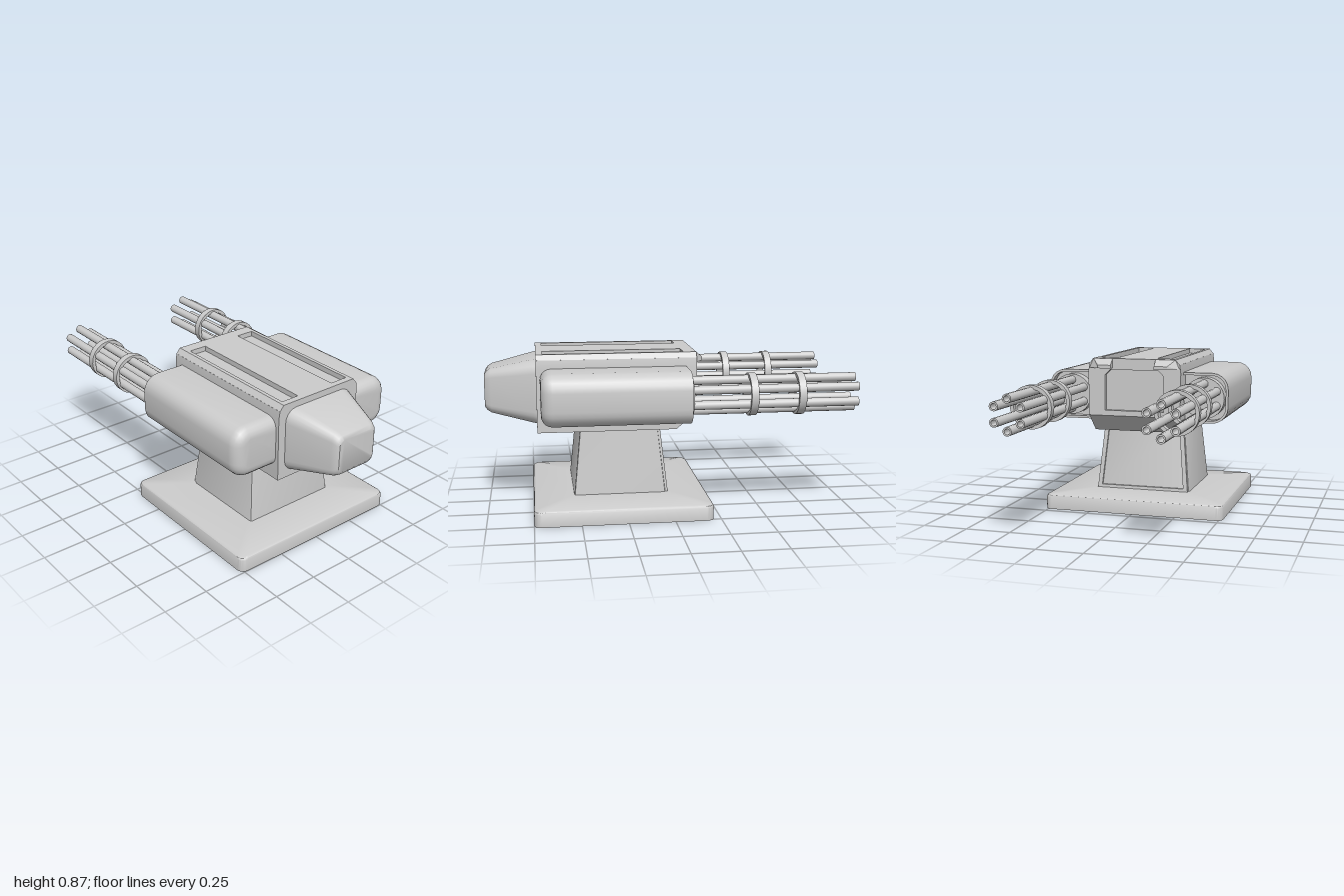
import * as THREE from 'three';
import { toCreasedNormals } from 'three/addons/utils/BufferGeometryUtils.js';

const material = new THREE.MeshStandardMaterial({ color: 0xcccccc });

// Rounded rectangle as a counter-clockwise list of [u, v]
function roundRect(cu, cv, hu, hv, r, steps = 5) {
  const pts = [];
  [[1, 1], [-1, 1], [-1, -1], [1, -1]].forEach(([su, sv], k) => {
    for (let i = 0; i <= steps; i++) {
      const a = (k + i / steps) * Math.PI / 2;
      pts.push([cu + su * (hu - r) + r * Math.cos(a), cv + sv * (hv - r) + r * Math.sin(a)]);
    }
  });
  return pts;
}

// Capped skin through rings [{ t, ring }]; axis 'x' maps (u,v) to (y,z), axis 'y' maps (u,v) to (z,x)
function loft(sections, axis, crease = 0.6) {
  const pos = [];
  const put = (t, [u, v]) => pos.push(...(axis === 'x' ? [t, u, v] : [v, t, u]));
  const n = sections[0].ring.length;
  for (let s = 0; s < sections.length - 1; s++) {
    const a = sections[s], b = sections[s + 1];
    for (let i = 0; i < n; i++) {
      const j = (i + 1) % n;
      put(a.t, a.ring[i]); put(a.t, a.ring[j]); put(b.t, b.ring[j]);
      put(a.t, a.ring[i]); put(b.t, b.ring[j]); put(b.t, b.ring[i]);
    }
  }
  const first = sections[0], last = sections[sections.length - 1];
  for (let i = 1; i < n - 1; i++) {
    put(first.t, first.ring[0]); put(first.t, first.ring[i + 1]); put(first.t, first.ring[i]);
    put(last.t, last.ring[0]); put(last.t, last.ring[i]); put(last.t, last.ring[i + 1]);
  }
  const geo = new THREE.BufferGeometry();
  geo.setAttribute('position', new THREE.Float32BufferAttribute(pos, 3));
  return toCreasedNormals(geo, crease);
}

// Extrude an outline with holes, then move each vertex by a rule
function extrude(points, holes, depth, rule) {
  const toVec = ([x, y]) => new THREE.Vector2(x, y);
  const shape = new THREE.Shape(points.map(toVec));
  holes.forEach(h => shape.holes.push(new THREE.Path(h.map(toVec))));
  const geo = new THREE.ExtrudeGeometry(shape, { depth, bevelEnabled: false });
  const p = geo.attributes.position;
  for (let i = 0; i < p.count; i++) p.setXYZ(i, ...rule(p.getX(i), p.getY(i), p.getZ(i)));
  geo.computeVertexNormals();
  return geo;
}

function add(parent, name, geo) {
  const mesh = new THREE.Mesh(geo, material);
  mesh.name = name;
  parent.add(mesh);
  return mesh;
}

function createBase(group) {
  const slab = (t, inset) => ({ t, ring: roundRect(0, 0.27, 0.52 - inset, 0.48 - inset, 0.04) });
  add(group, 'basePlate', loft([
    slab(0, 0), slab(0.07, 0), slab(0.079, 0.004), slab(0.085, 0.014),
    { t: 0.098, ring: roundRect(0, 0.27, 0.28, 0.26, 0.02) },
  ], 'y'));
  add(group, 'pedestal', loft([
    { t: 0.08, ring: roundRect(0, 0.276, 0.28, 0.254, 0.012, 2) },
    { t: 0.46, ring: roundRect(0, 0.276, 0.243, 0.214, 0.012, 2) },
  ], 'y'));
  // Raised frame lying on the sloped muzzle-side face of the pedestal
  add(group, 'pedestalFrame', extrude(
    [[-0.272, 0.09], [0.272, 0.09], [0.238, 0.455], [-0.238, 0.455]],
    [[[-0.245, 0.115], [0.245, 0.115], [0.215, 0.435], [-0.215, 0.435]]],
    0.014, (u, v, w) => [0.024 + (v - 0.09) * 0.11 - w, v, u]));
}

function createBody(group) {
  const outline = yb => [[yb, -0.265], [0.8, -0.268], [0.845, -0.262],
    [0.845, 0.262], [0.8, 0.268], [yb, 0.265]];
  const panel = [[0.58, -0.17], [0.78, -0.17], [0.81, -0.14],
    [0.81, 0.14], [0.78, 0.17], [0.58, 0.17]];
  // Body with a recessed front panel and a chamfered chin
  add(group, 'body', loft([
    { t: -0.125, ring: panel }, { t: -0.15, ring: panel }, { t: -0.15, ring: outline(0.55) },
    { t: -0.04, ring: outline(0.45) }, { t: 0.72, ring: outline(0.45) },
  ], 'x', 0.2));

  // Roof with two long slots and bevelled sides
  const rect = (x0, x1, z0, z1) => [[x0, z0], [x1, z0], [x1, z1], [x0, z1]];
  add(group, 'roof', extrude(rect(-0.15, 0.72, -0.262, 0.262),
    [rect(-0.08, 0.685, 0.115, 0.218), rect(-0.08, 0.685, -0.218, -0.115)], 0.029,
    (x, v, w) => [x, 0.844 + w, -v * (w > 0.01 && Math.abs(v) > 0.25 ? 0.91 : 1)]));

  // Pair of sloping brow lips beside the notch
  for (const s of [1, -1]) {
    add(group, s > 0 ? 'leftBrow' : 'rightBrow', extrude(
      [[-0.149, 0.125 * s], [-0.149, 0.262 * s], [-0.19, 0.2 * s], [-0.19, 0.125 * s]], [], 0.053,
      (x, v, w) => {
        const top = w > 0.01, tip = x < -0.18;
        const z = top && Math.abs(v) > 0.25 ? v * 0.91 : v;
        return [x, 0.82 + (top ? (tip ? 0.018 : 0.053) : 0), -z];
      }));
  }

  // Tapered tail block
  add(group, 'tail', loft([
    { t: 0.71, ring: roundRect(0.66, 0, 0.18, 0.225, 0.07) },
    { t: 0.74, ring: roundRect(0.66, 0, 0.174, 0.217, 0.07) },
    { t: 0.965, ring: roundRect(0.66, 0, 0.122, 0.142, 0.045) },
    { t: 0.988, ring: roundRect(0.66, 0, 0.108, 0.132, 0.04) },
    { t: 1, ring: roundRect(0.66, 0, 0.09, 0.118, 0.03) },
  ], 'x'));
}

// One side pod with its barrel cluster
function createGun(side) {
  const gun = new THREE.Group();
  gun.name = side > 0 ? 'leftGun' : 'rightGun';
  const pod = (t, e) => ({
    t, ring: roundRect(0.66, side * 0.345, 0.14 - e, 0.177 - e, Math.max(0.09 - e, 0.03)),
  });
  // Hollow front rim, straight shell, rounded rear
  const sections = [pod(-0.04, 0.014), pod(-0.09, 0.014), pod(-0.09, 0)];
  for (let i = 0; i <= 5; i++) {
    const a = i / 5 * Math.PI / 2;
    sections.push(pod(0.64 + 0.06 * Math.sin(a), 0.06 * (1 - Math.cos(a))));
  }
  add(gun, 'pod', loft(sections, 'x'));

  const cluster = new THREE.Group();
  cluster.name = 'barrelCluster';
  cluster.position.set(0, 0.66, side * 0.387);
  gun.add(cluster);
  const rod = (name, r, x0, x1, y, z, sides) => {
    const geo = new THREE.CylinderGeometry(r, r, x1 - x0, sides).rotateZ(Math.PI / 2);
    add(cluster, name, geo).position.set((x0 + x1) / 2, y, z);
  };
  rod('collar', 0.115, -0.1, -0.03, 0, 0, 32);

  // Barrels are open tubes with a visible bore
  const wall = [[0.015, -0.12], [0.015, 0], [0.024, 0], [0.024, -0.92]];
  const tube = toCreasedNormals(new THREE.LatheGeometry(
    [[0, -0.12], ...wall].map(([r, y]) => new THREE.Vector2(r, y)).reverse(), 14), 0.6);
  tube.rotateZ(Math.PI / 2);
  for (let i = 0; i < 6; i++) {
    const a = i * Math.PI / 3;
    add(cluster, 'barrel', tube).position.set(-1, 0.081 * Math.cos(a), 0.081 * Math.sin(a));
  }

  // Clamp bands around the barrels
  const band = toCreasedNormals(new THREE.LatheGeometry(
    [[0.095, -0.02], [0.115, -0.02], [0.115, 0.02], [0.095, 0.02], [0.095, -0.02]]
      .map(([r, y]) => new THREE.Vector2(r, y)), 32), 0.6);
  band.rotateZ(Math.PI / 2);
  for (const x of [-0.685, -0.425]) add(cluster, 'clampBand', band).position.x = x;
  return gun;
}

export function createModel() {
  const model = new THREE.Group();
  model.name = 'turret';
  createBase(model);
  createBody(model);
  model.add(createGun(1), createGun(-1));
  return model;
}
